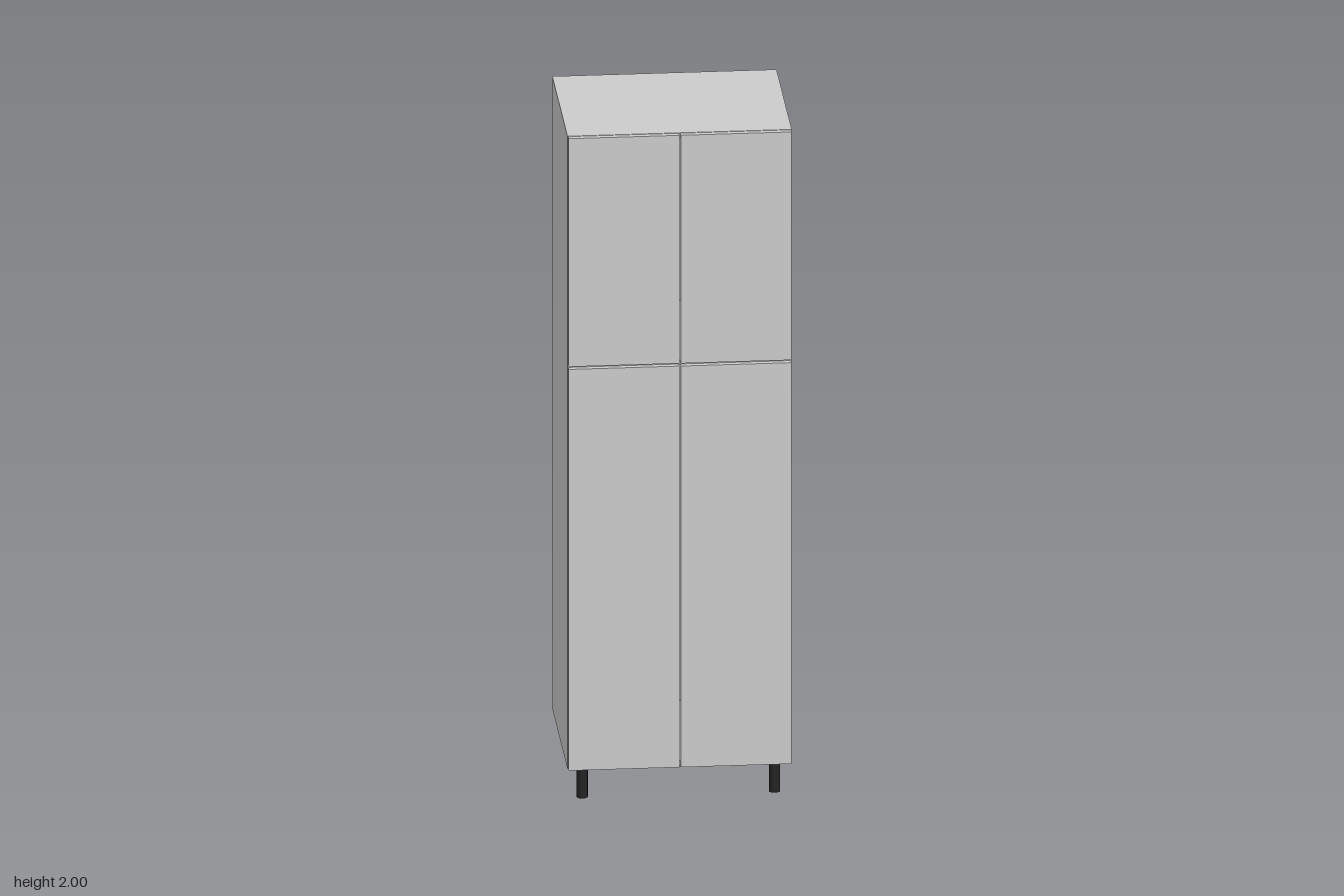
import * as THREE from 'three';

export function createModel() {
  const model = new THREE.Group();
  const grey = new THREE.MeshStandardMaterial({ color: 0xcccccc });
  const black = new THREE.MeshStandardMaterial({ color: 0x222222 });

  // Box given by its limits on each axis
  function panel(name, [x0, x1], [y0, y1], [z0, z1]) {
    const mesh = new THREE.Mesh(new THREE.BoxGeometry(x1 - x0, y1 - y0, z1 - z0), grey);
    mesh.position.set((x0 + x1) / 2, (y0 + y1) / 2, (z0 + z1) / 2);
    mesh.name = name;
    model.add(mesh);
  }

  const W = 0.317, T = 0.015, bottom = 0.1, top = 2;
  const back = -0.253, front = 0.235, inner = W - T, split = 1.31;

  // Carcass: sides, with the other boards fitted between them
  panel('rightSide', [-W, -inner], [bottom, top], [back, front]);
  panel('leftSide', [inner, W], [bottom, top], [back, front]);
  panel('topBoard', [-inner, inner], [top - T, top], [back, front]);
  panel('bottomBoard', [-inner, inner], [bottom, bottom + T], [back, front]);
  panel('backBoard', [-inner, inner], [bottom + T, top - T], [back, back + 0.005]);
  panel('middleShelf', [-inner, inner], [split - T / 2, split + T / 2], [back + 0.005, front]);

  // Two tall lower doors and two shorter upper doors
  const doorZ = [front + 0.001, 0.253];
  const gap = 0.002, edge = W - 0.002;
  const rows = [['lower', [bottom + 0.001, split - 0.004]], ['upper', [split + 0.004, top - 0.001]]];
  for (const [row, y] of rows) {
    panel(row + 'RightDoor', [-edge, -gap], y, doorZ);
    panel(row + 'LeftDoor', [gap, edge], y, doorZ);
  }

  // Round feet
  const footGeometry = new THREE.CylinderGeometry(0.016, 0.016, bottom, 24);
  for (const x of [-0.272, 0.272]) {
    for (const z of [-0.196, 0.194]) {
      const foot = new THREE.Mesh(footGeometry, black);
      foot.position.set(x, bottom / 2, z);
      foot.name = 'foot';
      model.add(foot);
    }
  }
  return model;
}
